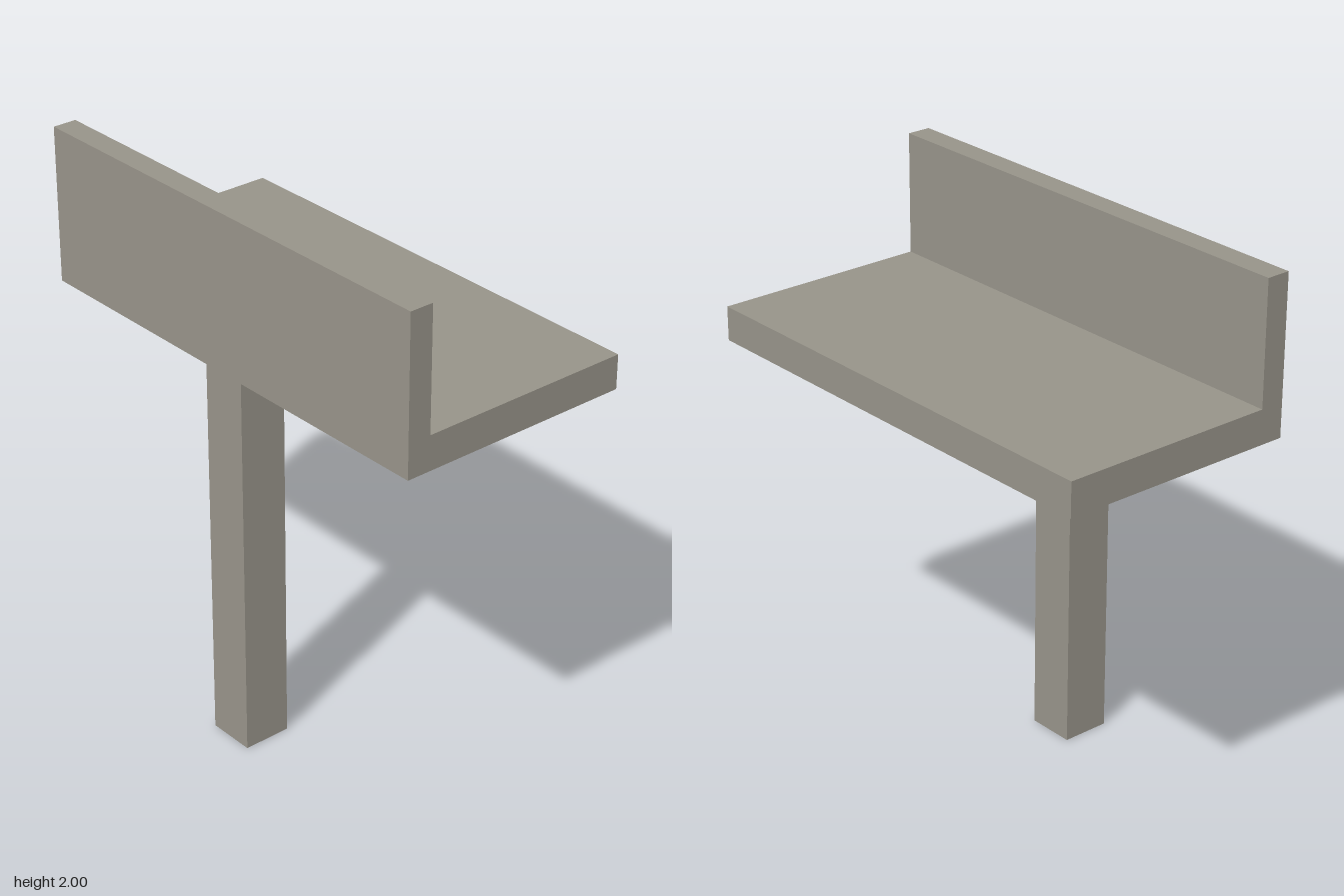
import * as THREE from 'three';

export function createModel() {
  const model = new THREE.Group();
  const greyStone = new THREE.MeshStandardMaterial({ color: 0x979389 });
  greyStone.name = 'warm grey';

  const width = 1.78, front = 0.445, back = -0.445;
  const shelfBottom = 1.43, shelfTop = 1.555, panelBack = 0.357, postSize = 0.178;

  // L-shaped shelf with upright front panel: (z, y) profile extruded along x
  const profile = new THREE.Shape([
    [back, shelfBottom], [front, shelfBottom], [front, 2],
    [panelBack, 2], [panelBack, shelfTop], [back, shelfTop],
  ].map(([z, y]) => new THREE.Vector2(z, y)));
  const shelfGeometry = new THREE.ExtrudeGeometry(profile, { depth: width, bevelEnabled: false });
  shelfGeometry.translate(0, 0, -width / 2).rotateY(-Math.PI / 2);
  const shelf = new THREE.Mesh(shelfGeometry, greyStone);
  shelf.name = 'shelfWithPanel';
  model.add(shelf);

  // Square post, flush with the front face
  const post = new THREE.Mesh(new THREE.BoxGeometry(postSize, shelfBottom, postSize), greyStone);
  post.name = 'post';
  post.position.set(0, shelfBottom / 2, front - postSize / 2);
  model.add(post);

  return model;
}
